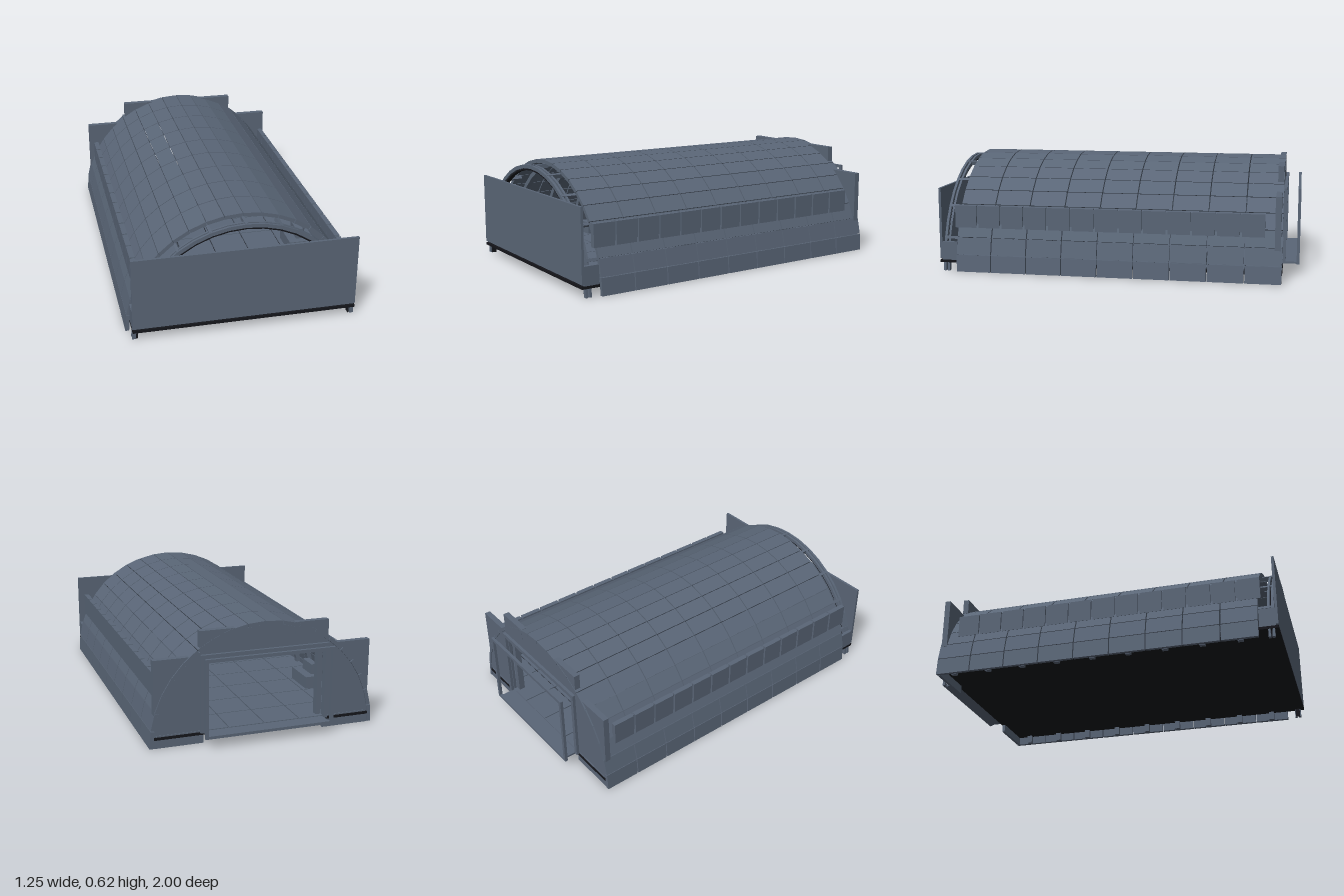
import * as THREE from 'three';
import { mergeGeometries } from 'three/addons/utils/BufferGeometryUtils.js';

const slate = new THREE.MeshStandardMaterial({ color: 0x5a6677, flatShading: true });
slate.name = 'slate';
const dark = new THREE.MeshStandardMaterial({ color: 0x15161b, flatShading: true });
dark.name = 'dark underside';

// box given by its two extreme corners
function box(x0, x1, y0, y1, z0, z1) {
  const g = new THREE.BoxGeometry(x1 - x0, y1 - y0, z1 - z0);
  return g.translate((x0 + x1) / 2, (y0 + y1) / 2, (z0 + z1) / 2);
}

// faceted arch band between two radii and two angles, running from z0 to z1
function band(r0, r1, a0, a1, segs, z0, z1) {
  const pts = [];
  const at = (r, i) => {
    const a = a0 + (a1 - a0) * i / segs;
    return new THREE.Vector2(r * Math.cos(a), r * Math.sin(a));
  };
  for (let i = 0; i <= segs; i++) pts.push(at(r1, i));
  for (let i = segs; i >= 0; i--) pts.push(at(r0, i));
  const g = new THREE.ExtrudeGeometry(new THREE.Shape(pts), { depth: z1 - z0, bevelEnabled: false });
  return g.translate(0, 0, z0);
}

export function createModel() {
  const group = new THREE.Group();
  const add = (name, geos, mat = slate) => {
    const list = geos.map(g => (g.index ? g.toNonIndexed() : g));
    const mesh = new THREE.Mesh(mergeGeometries(list), mat);
    mesh.name = name;
    group.add(mesh);
  };
  const R = 0.625, zBack = -0.91, zFront = 0.9;
  const rows = 9, cols = 20, pitch = (zFront - zBack) / rows, step = Math.PI / cols;

  // vaulted roof of separate flat panels, with narrow gaps
  const panels = [], ribs = [];
  for (let r = 0; r < rows; r++) {
    const z = zBack + r * pitch;
    for (let c = 0; c < cols; c++) {
      panels.push(band(0.605, R, c * step + 0.003, (c + 1) * step - 0.003, 1, z + 0.003, z + pitch - 0.003));
    }
    ribs.push(band(0.578, 0.603, 0, Math.PI, cols, z + pitch / 2 - 0.015, z + pitch / 2 + 0.015));
  }
  add('roofPanels', panels);
  add('innerRibs', ribs);

  // two open arches in front, tied back to the roof
  add('frontArches', [
    band(0.582, 0.602, 0, Math.PI, cols, 0.945, 0.957),
    band(0.582, 0.602, 0, Math.PI, cols, 0.966, 0.98),
  ]);
  add('archLining', [band(0.572, 0.58, 0, Math.PI, cols, 0.95, 0.975)], dark);
  const ties = [];
  for (let c = 2; c <= 18; c += 2) {
    const a = c * step, x = 0.592 * Math.cos(a), y = 0.592 * Math.sin(a);
    const g = new THREE.BoxGeometry(0.022, 0.016, 0.1);
    ties.push(g.rotateZ(a).translate(x, y, 0.925));
  }
  add('archTies', ties);

  // floor with a dark base and slate tiles
  add('floorBase', [box(-0.6, 0.6, 0.047, 0.062, zBack, 1)], dark);
  const tiles = [];
  for (let i = 0; i < 6; i++) {
    for (let r = 0; r < rows; r++) {
      const x = -0.594 + i * 0.198, z = zBack + r * pitch;
      tiles.push(box(x + 0.003, x + 0.195, 0.062, 0.07, z + 0.003, z + pitch - 0.003));
    }
  }
  tiles.push(box(-0.597, 0.597, 0.062, 0.07, zFront, 0.985));
  add('floorTiles', tiles);

  // tall front plate and short cheeks beside it
  add('frontPlate', [box(-0.6, 0.6, 0.07, 0.47, 0.986, 1)]);
  add('frontCheeks', [-1, 1].map(s => box(s * 0.59 - 0.01, s * 0.59 + 0.01, 0.062, 0.165, 0.9, 0.986)));

  // upright plates along both sides
  const sides = [];
  const count = 13, len = 1.74 / count;
  for (const s of [-1, 1]) {
    for (let i = 0; i < count; i++) {
      const z = -0.82 + i * len;
      sides.push(box(s * 0.561 - 0.014, s * 0.561 + 0.014, 0.245, 0.37, z + 0.006, z + len - 0.006));
    }
    sides.push(box(s * 0.556 - 0.008, s * 0.556 + 0.008, 0.25, 0.365, -0.81, 0.91));
  }
  add('sidePlates', sides);

  // fins standing at the back corners and shoulders
  const fins = [];
  for (const s of [-1, 1]) {
    const span = (a, b) => (s > 0 ? [a, b] : [-b, -a]);
    fins.push(box(...span(0.41, 0.6), 0.18, 0.47, -0.9, -0.868));
    fins.push(box(...span(0.165, 0.355), 0.515, 0.603, -0.905, -0.872));
  }
  add('backFins', fins);

  // half-round back wall with a doorway
  const wall = new THREE.Shape();
  wall.moveTo(0.604, 0);
  for (let c = 1; c <= cols; c++) wall.lineTo(0.604 * Math.cos(c * step), 0.604 * Math.sin(c * step));
  for (const [x, y] of [[-0.335, 0], [-0.335, 0.465], [0.335, 0.465], [0.335, 0]]) wall.lineTo(x, y);
  const wallGeo = new THREE.ExtrudeGeometry(wall, { depth: 0.016, bevelEnabled: false });
  add('backWall', [wallGeo.translate(0, 0, -0.904)]);

  // rectangular door frames
  const frame = (w, top, t, z0, z1) => [
    box(-w, -w + t, 0.06, top, z0, z1), box(w - t, w, 0.06, top, z0, z1),
    box(-w + t, w - t, top - t, top, z0, z1),
  ];
  add('doorFrames', [
    ...frame(0.355, 0.48, 0.018, -1, -0.984),
    ...frame(0.355, 0.48, 0.022, -0.924, -0.908),
    ...frame(0.335, 0.465, 0.03, -0.885, -0.85),
  ]);
  add('doorStep', [
    box(-0.335, 0.335, 0.055, 0.066, -0.985, -0.9),
    box(-0.355, 0.355, 0.055, 0.07, -1, -0.985),
  ]);

  // panels and rail above the doorway, inside
  const signs = [-0.118, 0, 0.118].map(x => box(x - 0.043, x + 0.043, 0.5, 0.556, -0.888, -0.88));
  signs.push(box(-0.36, 0.36, 0.472, 0.482, -0.888, -0.86));
  add('innerWallPanels', signs);

  // equipment along the inner walls
  const desks = [];
  for (const s of [-1, 1]) {
    for (const z of [-0.4, 0.3]) {
      desks.push(box(s * 0.47 - 0.05, s * 0.47 + 0.05, 0.07, 0.14, z - 0.1, z + 0.1));
      desks.push(box(s * 0.49 - 0.02, s * 0.49 + 0.02, 0.14, 0.2, z - 0.06, z + 0.06));
    }
  }
  add('innerConsoles', desks);

  return group;
}
